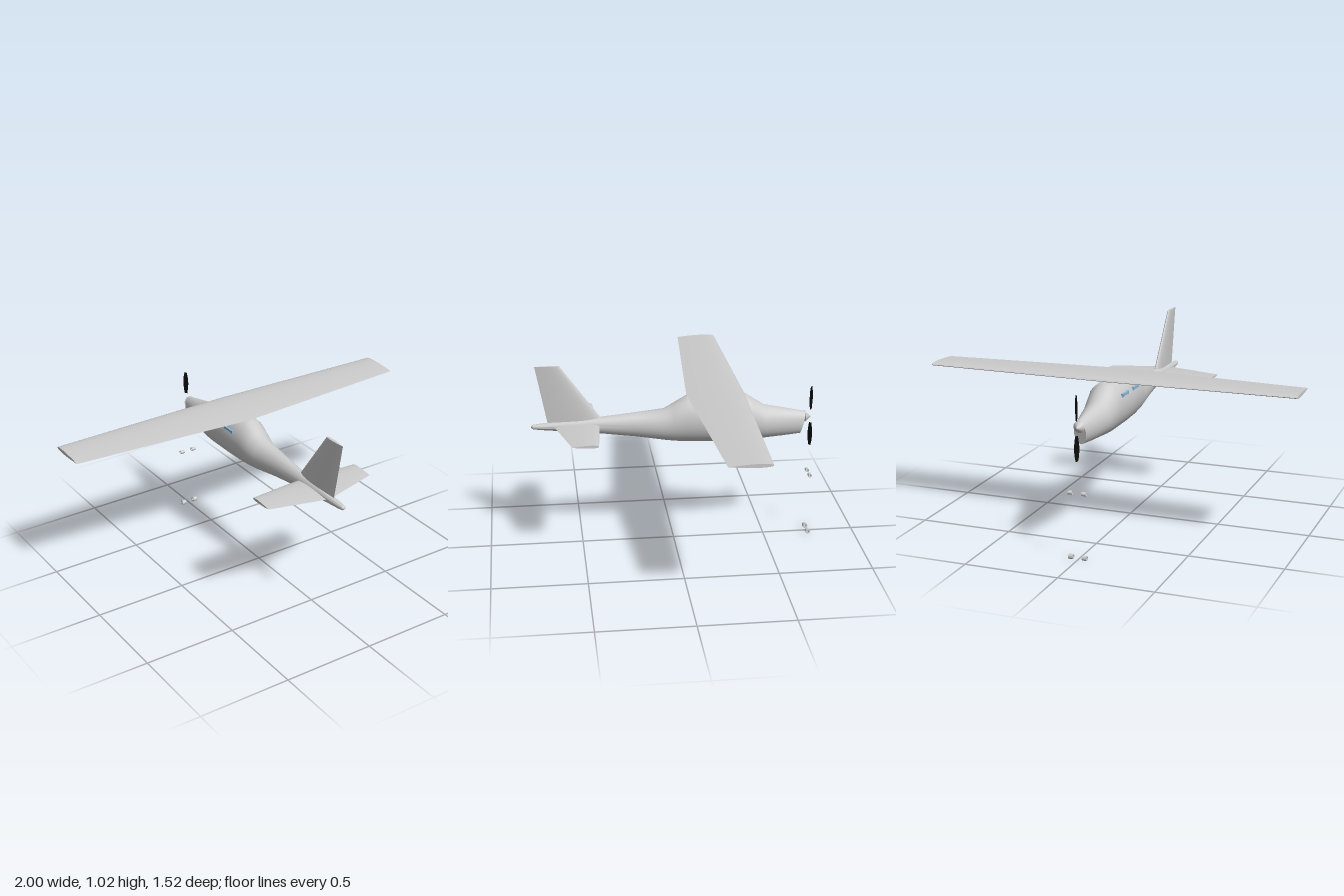
import * as THREE from 'three';
import { toCreasedNormals } from 'three/addons/utils/BufferGeometryUtils.js';

const grey = new THREE.MeshStandardMaterial({ color: 0xcccccc });
const black = new THREE.MeshStandardMaterial({ color: 0x0a0a0a, side: THREE.DoubleSide });
const blue = new THREE.MeshStandardMaterial({ color: 0x86b8da });

// Skin over rings that run from +z to -z, each counter-clockwise seen from +z, capped at both ends
function loft(rings) {
  const n = rings[0].length, pos = [], idx = [];
  rings.forEach(r => r.forEach(p => pos.push(...p)));
  for (let i = 0; i < rings.length - 1; i++) {
    for (let j = 0; j < n; j++) {
      const a = i * n + j, b = i * n + (j + 1) % n;
      idx.push(a, a + n, b, b, a + n, b + n);
    }
  }
  [0, rings.length - 1].forEach(i => {
    const centre = [0, 1, 2].map(k => rings[i].reduce((s, p) => s + p[k], 0) / n);
    const c = pos.push(...centre) / 3 - 1;
    for (let j = 0; j < n; j++) {
      const a = i * n + j, b = i * n + (j + 1) % n;
      if (i === 0) idx.push(c, a, b); else idx.push(c, b, a);
    }
  });
  const g = new THREE.BufferGeometry();
  g.setAttribute('position', new THREE.Float32BufferAttribute(pos, 3));
  g.setIndex(idx);
  return g;
}

// Aerofoil ring: leading and trailing edge in z, height above and below the chord line
function aerofoil(span, lead, trail, y, up, low) {
  const ring = [], n = 28;
  for (let j = 0; j < n; j++) {
    const a = j / n * Math.PI * 2, u = (1 - Math.cos(a)) / 2;
    const t = 10 * (0.2969 * Math.sqrt(u) - 0.126 * u - 0.3516 * u ** 2 + 0.2843 * u ** 3 - 0.1036 * u ** 4);
    ring.push([-(lead + (trail - lead) * u), y + (j <= n / 2 ? up : -low) * t, span]);
  }
  return ring;
}

function add(parent, name, geometry, material = grey) {
  const mesh = new THREE.Mesh(geometry, material);
  mesh.name = name;
  parent.add(mesh);
  return mesh;
}

function fuselage() {
  // z at the top, z at the bottom, top y, bottom y, half width
  const sections = [
    [0.757, 0.757, 0.69, 0.68, 0.005], [0.75, 0.75, 0.696, 0.673, 0.012],
    [0.72, 0.72, 0.7, 0.668, 0.017], [0.39, 0.39, 0.726, 0.634, 0.034],
    [0.2, 0.2, 0.743, 0.609, 0.052], [0.05, 0.05, 0.758, 0.584, 0.071],
    [0.0, 0.0, 0.787, 0.577, 0.081], [-0.07, -0.07, 0.828, 0.57, 0.091],
    [-0.2, -0.2, 0.834, 0.566, 0.096], [-0.38, -0.38, 0.829, 0.564, 0.093],
    [-0.43, -0.43, 0.796, 0.567, 0.086], [-0.49, -0.49, 0.757, 0.573, 0.076],
    [-0.6, -0.6, 0.735, 0.58, 0.055], [-0.716, -0.687, 0.711, 0.587, 0.032],
  ];
  const rings = sections.map(([zt, zb, top, bottom, w]) => {
    const ring = [], n = 32;
    for (let j = 0; j < n; j++) {
      const a = j / n * Math.PI * 2, v = (1 + Math.sin(a)) / 2;
      ring.push([w * Math.cos(a), bottom + (top - bottom) * v, zb + (zt - zb) * v]);
    }
    return ring;
  });
  return toCreasedNormals(loft(rings), 0.5);
}

// Flat spindle blade, root at the origin, pointing up
function bladeGeometry() {
  const edge = [[0.007, 0], [0.01, 0.02], [0.0145, 0.06], [0.012, 0.1], [0.006, 0.13]];
  const s = new THREE.Shape();
  s.moveTo(-0.007, 0);
  edge.forEach(([x, y]) => s.lineTo(x, y));
  edge.slice(1).reverse().forEach(([x, y]) => s.lineTo(-x, y));
  const g = new THREE.ExtrudeGeometry(s, { depth: 0.002, bevelEnabled: false });
  return g.translate(0, 0, -0.001);
}

// Slim window strip with wider ends, lying in the z-y plane
function windowGeometry() {
  const half = [[-0.042, 0.009], [-0.029, 0.009], [-0.026, 0.006], [0.026, 0.006], [0.029, 0.009], [0.042, 0.009]];
  const pts = [...half, ...half.slice().reverse().map(([x, y]) => [x, -y])];
  const s = new THREE.Shape(pts.map(p => new THREE.Vector2(...p)));
  const g = new THREE.ExtrudeGeometry(s, { depth: 0.012, bevelEnabled: false });
  return g.translate(0, 0, -0.006).rotateY(Math.PI / 2);
}

// Hollow wheel with its axle along x
function wheelGeometry(outer, inner) {
  const h = 0.012;
  const profile = [[inner, -h], [outer, -h], [outer, h], [inner, h], [inner, -h]];
  const g = new THREE.LatheGeometry(profile.map(p => new THREE.Vector2(...p)), 20);
  return toCreasedNormals(g.rotateZ(Math.PI / 2), 0.6);
}

export function createModel() {
  const model = new THREE.Group();
  model.name = 'airplane';

  add(model, 'fuselage', fuselage());

  // Nose cone
  const cone = new THREE.ConeGeometry(0.03, 0.032, 24).rotateX(-Math.PI / 2);
  add(model, 'spinner', cone).position.set(0, 0.682, -0.73);

  // Main wing and tailplane run across x
  const wing = loft([
    aerofoil(1, -0.358, -0.14, 0.833, 0.01, 0.01),
    aerofoil(0, -0.378, -0.068, 0.833, 0.017, 0.011),
    aerofoil(-1, -0.358, -0.14, 0.833, 0.01, 0.01),
  ]).rotateY(Math.PI / 2);
  add(model, 'wing', toCreasedNormals(wing, 0.6));

  const tailplane = loft([
    aerofoil(0.315, 0.418, 0.555, 0.684, 0.008, 0.008),
    aerofoil(0, 0.395, 0.64, 0.684, 0.013, 0.013),
    aerofoil(-0.315, 0.418, 0.555, 0.684, 0.008, 0.008),
  ]).rotateY(Math.PI / 2);
  add(model, 'tailplane', toCreasedNormals(tailplane, 0.6));

  // Upright fin
  const fin = loft([
    aerofoil(1.018, 0.6, 0.729, 0, 0.008, 0.008),
    aerofoil(0.69, 0.365, 0.668, 0, 0.015, 0.015),
  ]).rotateX(-Math.PI / 2).rotateY(Math.PI / 2);
  add(model, 'fin', toCreasedNormals(fin, 0.6));

  // Propeller blades, pitched in opposite directions
  const propeller = new THREE.Group();
  propeller.name = 'propeller';
  propeller.position.set(0, 0.682, -0.745);
  model.add(propeller);
  for (const s of [1, -1]) {
    const blade = add(propeller, s > 0 ? 'upperBlade' : 'lowerBlade', bladeGeometry(), black);
    blade.position.y = s * 0.038;
    blade.rotation.set(s > 0 ? 0 : Math.PI, -Math.PI / 4, 0);
  }

  // Side windows and the two pairs of wheels
  for (const s of [1, -1]) {
    const side = s > 0 ? 'left' : 'right';
    for (const z of [-0.159, -0.307]) {
      const pane = add(model, side + 'Window', windowGeometry(), blue);
      pane.position.set(s * 0.086, 0.76, z);
    }
    add(model, side + 'UpperWheel', wheelGeometry(0.01, 0.007)).position.set(s * 0.037, 0.35, -0.745);
    add(model, side + 'LowerWheel', wheelGeometry(0.013, 0.007)).position.set(s * 0.037, 0.013, -0.745);
  }

  return model;
}
